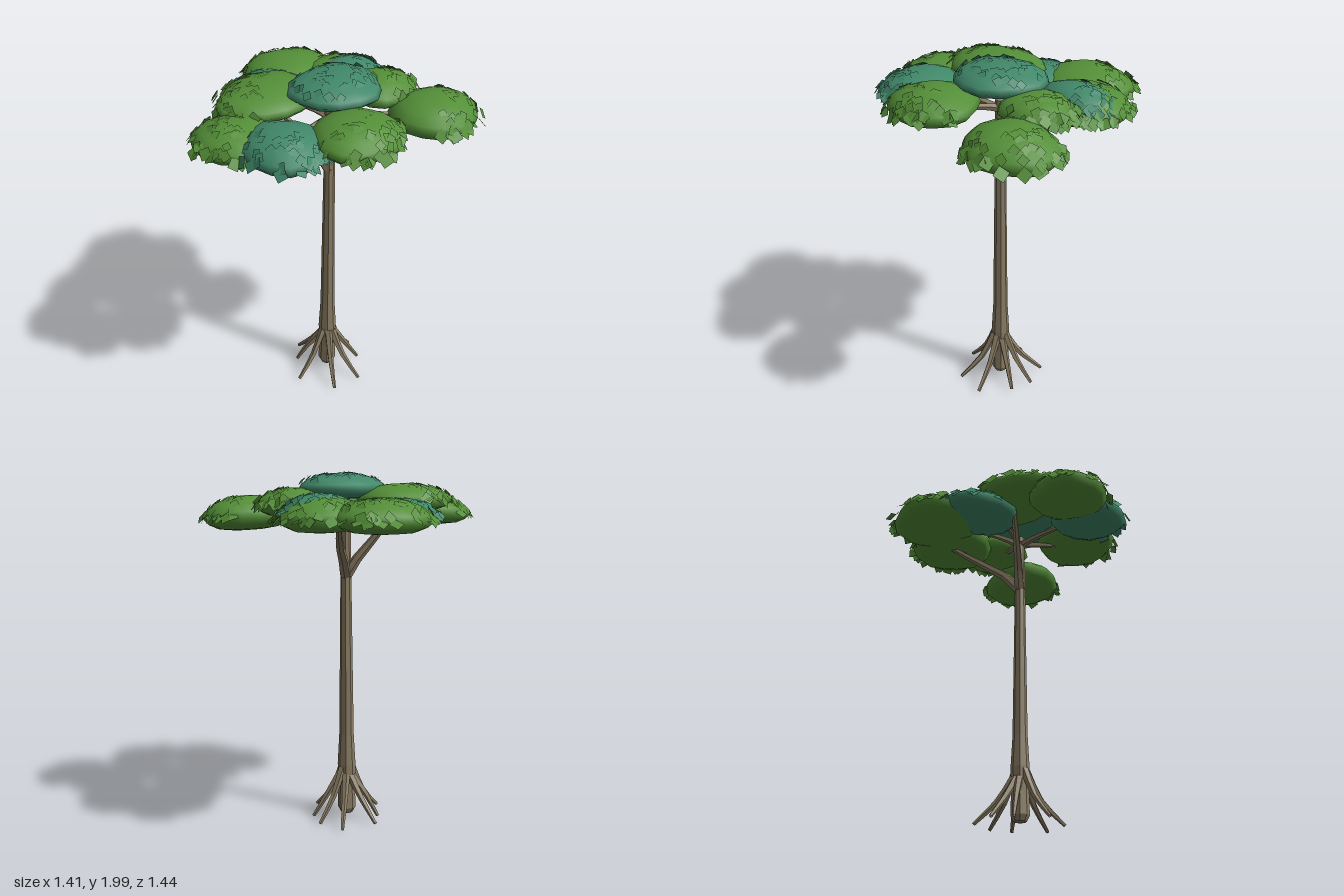
import * as THREE from 'three';
import { mergeGeometries, mergeVertices } from 'three/addons/utils/BufferGeometryUtils.js';

const TX = 0.07, TZ = -0.04; // trunk axis

// Small seeded generator
function seeded(seed) {
  let s = seed;
  return () => (s = (s * 16807) % 2147483647) / 2147483647;
}

// Tapered limb swept along a curve through the given points
function limb(points, r0, r1, sides = 5, steps = 4) {
  const curve = new THREE.CatmullRomCurve3(points.map(p => new THREE.Vector3(...p)));
  const geo = new THREE.TubeGeometry(curve, steps, 1, sides, false);
  const pos = geo.attributes.position, c = new THREE.Vector3(), v = new THREE.Vector3();
  for (let i = 0; i < pos.count; i++) {
    const t = Math.floor(i / (sides + 1)) / steps;
    curve.getPointAt(t, c);
    v.fromBufferAttribute(pos, i).sub(c).multiplyScalar(r0 + (r1 - r0) * t).add(c);
    pos.setXYZ(i, v.x, v.y, v.z);
  }
  geo.computeVertexNormals();
  return geo;
}

// Domed leaf cushion with a shallow belly, of unit radius and height
function cushion(phase) {
  const profile = [[0, 0.06], [0.4, 0.02], [0.68, 0.07], [0.88, 0.2], [1, 0.38], [0.94, 0.57],
    [0.77, 0.77], [0.5, 0.92], [0.25, 0.98], [0, 1]].map(p => new THREE.Vector2(...p));
  let geo = new THREE.LatheGeometry(profile, 14);
  geo.deleteAttribute('uv');
  geo.deleteAttribute('normal');
  geo = mergeVertices(geo, 1e-4);
  const pos = geo.attributes.position;
  for (let i = 0; i < pos.count; i++) {
    const x = pos.getX(i), z = pos.getZ(i), a = Math.atan2(z, x);
    const k = 1 + 0.035 * Math.sin(3 * a + phase) + 0.025 * Math.sin(5 * a + phase * 2);
    pos.setX(i, x * k);
    pos.setZ(i, z * k);
  }
  geo.computeVertexNormals();
  return geo;
}

// Diamond leaves: a loose fringe on the outward rim, flatter ones on the dome
function leaves(b, rand) {
  const out = [], dummy = new THREE.Object3D();
  const outward = Math.atan2(b.z, b.x), spread = b.crown ? Math.PI : 1.5;
  for (let i = 0; i < 50; i++) {
    const fringe = i < 24 && !b.crown;
    const a = outward + (rand() * 2 - 1) * spread;
    const u = fringe ? 0.94 + rand() * 0.14 : 0.25 + rand() * 0.68;
    const h = 0.4 + 0.6 * Math.sqrt(Math.max(0, 1 - u * u));
    dummy.position.set(Math.cos(a) * u * b.rx, h * b.h + 0.001, Math.sin(a) * u * b.rz);
    // slope of the dome, with a looser angle at the rim
    const n = new THREE.Vector3(Math.cos(a) * u, fringe ? 0.8 : 1.3 * b.rx / b.h * (h - 0.4) + 0.1, Math.sin(a) * u);
    const jitter = fringe ? 1.1 : 0.25;
    n.x += (rand() - 0.5) * jitter;
    n.z += (rand() - 0.5) * jitter;
    dummy.lookAt(n.add(dummy.position));
    dummy.rotateZ(Math.PI / 4 + (rand() - 0.5) * 0.7);
    dummy.updateMatrix();
    const size = fringe ? 0.042 + rand() * 0.018 : 0.036 + rand() * 0.01;
    out.push(new THREE.PlaneGeometry(size, size).applyMatrix4(dummy.matrix));
  }
  return mergeGeometries(out);
}

export function createModel() {
  const tree = new THREE.Group();
  tree.name = 'tree';
  const mat = (name, color, extra) => {
    const m = new THREE.MeshStandardMaterial({ color, side: THREE.DoubleSide, ...extra });
    m.name = name;
    return m;
  };
  const bark = mat('bark', 0x897c63, { flatShading: true });
  const green = mat('leaf green', 0x548f38);
  const teal = mat('leaf teal', 0x41886a);
  const add = (parent, name, geo, m) => {
    const mesh = new THREE.Mesh(geo, m);
    mesh.name = name;
    parent.add(mesh);
    return mesh;
  };

  // Trunk
  const trunkProfile = [[0, 0.015], [0.035, 0.022], [0.052, 0.055], [0.049, 0.18], [0.052, 0.32], [0.042, 0.5],
    [0.037, 0.9], [0.031, 1.4], [0.027, 1.78], [0, 1.79]].map(p => new THREE.Vector2(...p));
  add(tree, 'trunk', new THREE.LatheGeometry(trunkProfile, 8), bark).position.set(TX, 0, TZ);

  // Stilt roots: foot x, foot z, height on the trunk
  const roots = new THREE.Group();
  roots.name = 'roots';
  roots.position.set(TX, 0, TZ);
  tree.add(roots);
  [[-0.15, 0.11, 0.25], [-0.01, 0.23, 0.3], [0.2, 0.14, 0.3], [0.24, -0.03, 0.29], [0.1, -0.17, 0.27],
    [-0.02, -0.22, 0.3], [-0.17, -0.18, 0.26], [-0.23, 0.02, 0.25]].forEach(([x, z, top]) => {
    const reach = Math.hypot(x, z), at = (r, y) => [x / reach * r, y, z / reach * r];
    add(roots, 'root', limb([at(0.035, top), at(0.115, 0.14), at(reach, 0.01)], 0.024, 0.01), bark);
  });

  // Branches, from the forks and from the hub under the crown
  const branches = new THREE.Group();
  branches.name = 'branches';
  tree.add(branches);
  [
    [[TX, 1.42, TZ], [0.01, 1.52, -0.11], [-0.1, 1.62, -0.23], [-0.24, 1.73, -0.35]],
    [[TX, 1.42, TZ], [0.02, 1.52, 0.0], [-0.05, 1.63, 0.06], [-0.15, 1.79, 0.14]],
  ].forEach(p => add(branches, 'branch', limb(p, 0.032, 0.014, 6), bark));
  [[0.32, 0.09, 1.77], [0.33, -0.3, 1.75], [0.14, -0.26, 1.79], [0.15, 0.28, 1.77], [-0.1, 0.02, 1.77],
    [-0.2, -0.14, 1.76]].forEach(([x, z, y]) => {
    const mix = (t, h) => [TX + (x - TX) * t, h, TZ + (z - TZ) * t];
    add(branches, 'twig', limb([mix(0, 1.73), mix(0.35, 1.755), mix(1, y)], 0.022, 0.01), bark);
  });

  // Canopy: centre x, z, radii, base height, thickness, colour, crown
  const canopy = new THREE.Group();
  canopy.name = 'canopy';
  tree.add(canopy);
  const rand = seeded(77);
  [
    [-0.43, -0.23, 0.245, 0.265, 1.695, 0.175, green],
    [-0.17, -0.39, 0.24, 0.245, 1.695, 0.175, green],
    [-0.125, -0.38, 0.16, 0.21, 1.745, 0.14, teal],
    [-0.29, 0.0, 0.25, 0.195, 1.72, 0.14, teal],
    [0.15, -0.34, 0.185, 0.2, 1.76, 0.15, green],
    [0.45, -0.42, 0.225, 0.25, 1.675, 0.19, green],
    [0.09, -0.055, 0.235, 0.255, 1.845, 0.14, teal, true],
    [-0.17, 0.18, 0.235, 0.285, 1.78, 0.15, green],
    [0.4, 0.115, 0.23, 0.24, 1.745, 0.165, green],
    [0.19, 0.4, 0.235, 0.215, 1.71, 0.165, teal],
    [-0.06, 0.485, 0.22, 0.225, 1.695, 0.165, green],
  ].forEach(([x, z, rx, rz, y, h, m, crown], i) => {
    const clump = new THREE.Group();
    clump.name = 'leafClump';
    clump.position.set(x, y, z);
    // lean outward a little
    if (!crown) clump.rotation.set(z * 0.08, 0, -x * 0.08);
    canopy.add(clump);
    add(clump, 'cushion', cushion(i * 1.3), m).scale.set(rx, h, rz);
    add(clump, 'leaves', leaves({ x, z, rx, rz, h, crown }, rand), m);
  });

  return tree;
}
